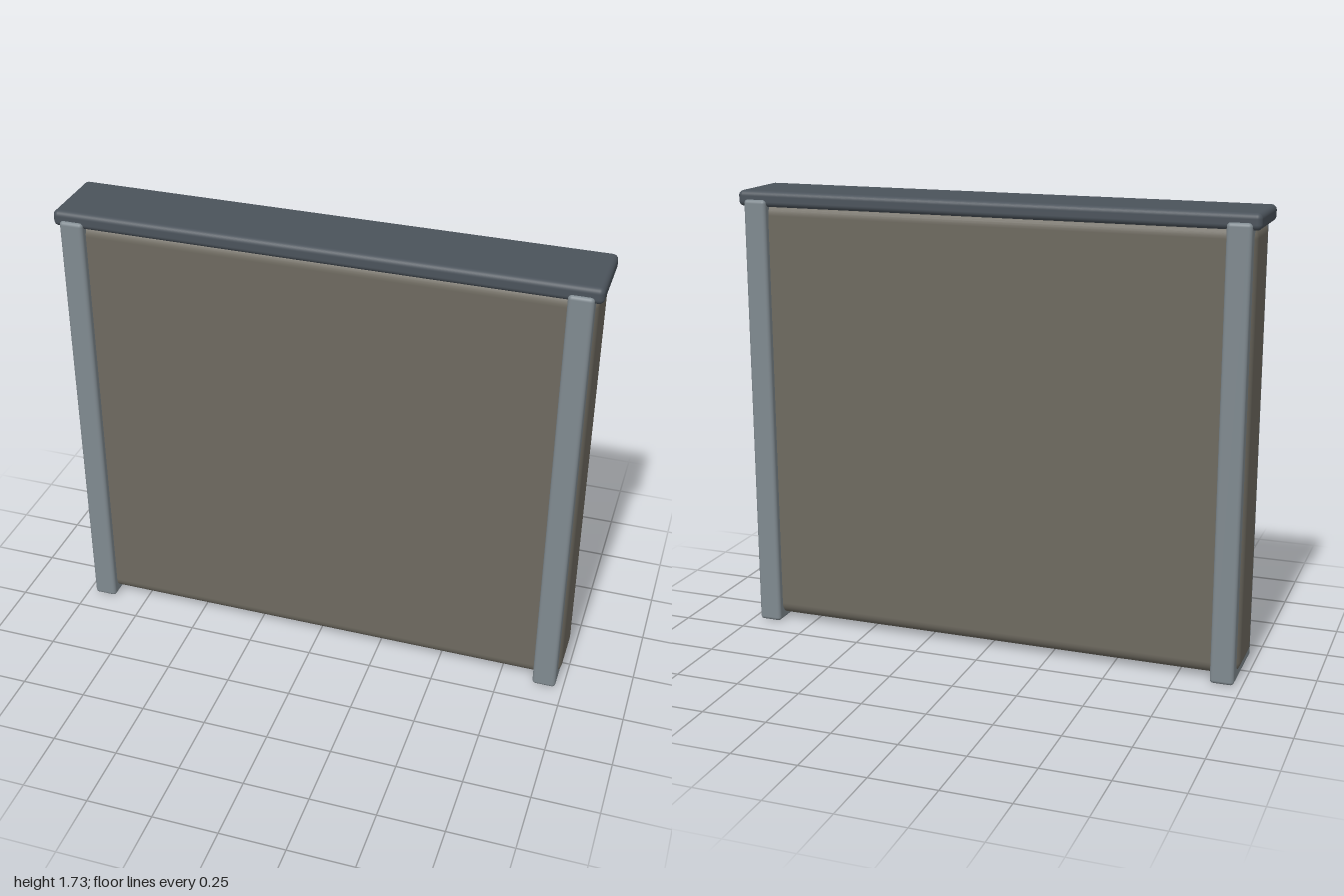
import * as THREE from 'three';
import { RoundedBoxGeometry } from 'three/addons/geometries/RoundedBoxGeometry.js';

function material(name, color) {
  const m = new THREE.MeshStandardMaterial({ color });
  m.name = name;
  return m;
}

// Rounded block given by its centre x, bottom and top, width, depth and edge radius
function block(name, mat, x, bottom, top, width, depth, radius) {
  const geometry = new RoundedBoxGeometry(width, top - bottom, depth, 5, radius);
  const mesh = new THREE.Mesh(geometry, mat);
  mesh.name = name;
  mesh.position.set(x, (bottom + top) / 2, 0);
  return mesh;
}

export function createModel() {
  const group = new THREE.Group();
  group.name = 'wallPanel';

  const stone = material('warm grey panel', 0x6e6a60);
  const steel = material('light steel', 0x808a90);
  const slate = material('dark slate', 0x4b535b);

  // Main slab with soft edges
  group.add(block('panel', stone, 0, 0.02, 1.687, 1.96, 0.26, 0.05));

  // Straps wrapping the slab near each end
  for (const side of [1, -1]) {
    const name = side > 0 ? 'leftPost' : 'rightPost';
    group.add(block(name, steel, side * 0.925, 0, 1.697, 0.09, 0.316, 0.014));
  }

  // Coping along the top
  group.add(block('topCap', slate, 0, 1.67, 1.73, 2, 0.292, 0.02));

  return group;
}
